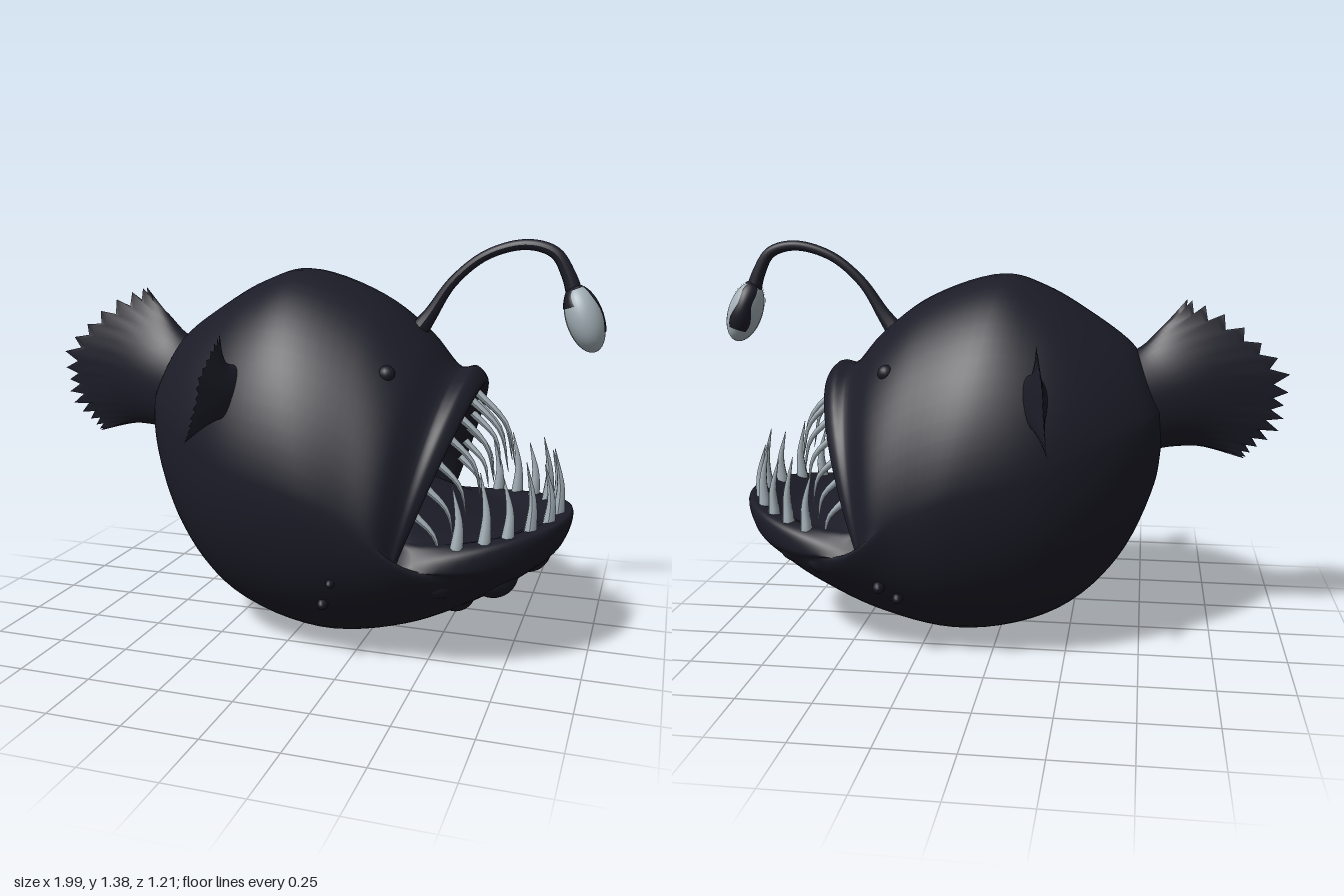
import * as THREE from 'three';

const SEG = 64;
const V = (x, y, z) => new THREE.Vector3(x, y, z);

// Bent oval section: top point, side point with half width, bottom point
function ring([tx, ty, sx, sy, w, bx, by], p, q) {
  const pts = [];
  for (let j = 0; j < SEG; j++) {
    const a = (j / SEG) * Math.PI * 2, s = Math.cos(a), m = Math.abs(s);
    const px = s > 0 ? Math.pow(m, p[0]) : Math.pow(m, p[1]);
    const py = s > 0 ? Math.pow(m, q) : m;
    pts.push(V(sx + ((s > 0 ? tx : bx) - sx) * px, sy + ((s > 0 ? ty : by) - sy) * py, w * Math.sin(a)));
  }
  return pts;
}

// Smooth skin over closed sections; also returns the curves that run along it
function loft(rings, steps, flip) {
  const curves = rings[0].map((_, j) => new THREE.CatmullRomCurve3(rings.map(r => r[j])));
  const pos = [], idx = [];
  for (let i = 0; i <= steps; i++) for (const c of curves) pos.push(...c.getPoint(i / steps).toArray());
  for (let i = 0; i < steps; i++) for (let j = 0; j < SEG; j++) {
    const k = (j + 1) % SEG;
    const a = i * SEG + j, b = i * SEG + k, c = a + SEG, d = b + SEG;
    if (flip) idx.push(a, c, b, b, c, d);
    else idx.push(a, b, c, b, d, c);
  }
  const geo = new THREE.BufferGeometry();
  geo.setAttribute('position', new THREE.Float32BufferAttribute(pos, 3));
  geo.setIndex(idx);
  geo.computeVertexNormals();
  return { geo, curves };
}

// Tube whose radius follows a rule along its length
function taperedTube(points, radius, n, sides) {
  const path = new THREE.CatmullRomCurve3(points);
  const geo = new THREE.TubeGeometry(path, n, 1, sides, false);
  const p = geo.attributes.position, v = V(0, 0, 0);
  for (let i = 0; i <= n; i++) {
    const c = path.getPointAt(i / n), r = radius(i / n);
    for (let j = 0; j <= sides; j++) {
      const k = i * (sides + 1) + j;
      v.fromBufferAttribute(p, k).sub(c).multiplyScalar(r).add(c);
      p.setXYZ(k, v.x, v.y, v.z);
    }
  }
  geo.computeVertexNormals();
  return geo;
}

// Ragged fin edge: every other point pushed outward
function ragged(pts, cx, cy, amount) {
  pts.forEach((p, j) => {
    const f = j % 2 ? -amount : amount * (0.4 + 0.3 * Math.sin(Math.cos((j / SEG) * Math.PI * 2) * 9));
    p.x += (p.x - cx) * f;
    p.y += (p.y - cy) * f;
  });
}

// Thin strip of a sphere with a wavy outline, running down from the pole
function drip(mid, width, len) {
  const geo = new THREE.SphereGeometry(1.04, 20, 20, mid - width / 2, width, 0, len);
  const p = geo.attributes.position;
  for (let k = 0; k < p.count; k++) {
    const t = Math.acos(THREE.MathUtils.clamp(p.getY(k) / 1.04, -1, 1));
    const side = (k % 21) / 20 - 0.5;
    const phi = mid + side * width * (0.9 + 0.2 * Math.sin(5 * t + mid));
    p.setX(k, -1.04 * Math.cos(phi) * Math.sin(t));
    p.setZ(k, 1.04 * Math.sin(phi) * Math.sin(t));
  }
  return geo;
}

export function createModel() {
  const model = new THREE.Group();
  const skin = new THREE.MeshStandardMaterial({ color: 0x1c1c28 });
  skin.name = 'dark skin';
  const pale = new THREE.MeshStandardMaterial({ color: 0xa4b1b8 });
  pale.name = 'pale tooth and lure';
  const add = (name, geo, mat, parent = model) => {
    const m = new THREE.Mesh(geo, mat);
    m.name = name;
    parent.add(m);
    return m;
  };

  // Body, lips and mouth lining as one skin
  const bodyRings = [
    [-0.5, 0.97, -0.56, 0.83, 0.09, -0.56, 0.69],
    [-0.45, 1.04, -0.51, 0.8, 0.2, -0.54, 0.55],
    [-0.3, 1.15, -0.35, 0.74, 0.36, -0.42, 0.28],
    [-0.15, 1.235, -0.15, 0.66, 0.475, -0.22, 0.09],
    [-0.01, 1.275, 0.1, 0.6, 0.52, 0.1, 0.001],
    [0.25, 1.195, 0.27, 0.53, 0.505, 0.4, 0.055],
    [0.42, 1.07, 0.37, 0.46, 0.495, 0.65, 0.18],
    [0.53, 0.955, 0.41, 0.4, 0.46, 0.81, 0.29],
    [0.585, 0.96, 0.42, 0.37, 0.455, 0.9, 0.38],
    [0.62, 0.91, 0.43, 0.385, 0.435, 0.925, 0.485],
    [0.57, 0.87, 0.42, 0.42, 0.405, 0.88, 0.48],
    [0.45, 0.82, 0.36, 0.45, 0.38, 0.75, 0.43],
    [0.28, 0.76, 0.22, 0.54, 0.3, 0.44, 0.5],
    [0.1, 0.62, 0.1, 0.62, 0, 0.1, 0.62],
  ].map(r => ring(r, [1.25, 1], 1.25));
  const body = loft(bodyRings, 78, false);
  add('body', body.geo, skin);
  const onBody = (r, a) => {
    const j = Math.round((a / (Math.PI * 2)) * SEG + SEG) % SEG;
    return body.curves[j].getPoint(r / (bodyRings.length - 1));
  };

  // Tail fin
  const tailRings = [
    [-0.4, 0.99, -0.4, 0.82, 0.17, -0.45, 0.64],
    [-0.48, 1.03, -0.57, 0.84, 0.115, -0.56, 0.675],
    [-0.56, 1.11, -0.75, 0.88, 0.06, -0.68, 0.685],
    [-0.63, 1.18, -0.97, 0.88, 0, -0.84, 0.65],
  ].map(r => ring(r, [2.3, 2.3], 1));
  ragged(tailRings[3], -0.58, 0.88, 0.09);
  add('tailFin', loft(tailRings, 18, true).geo, skin);

  // Side fins, drawn flat then turned outward
  for (const side of [1, -1]) {
    const finRings = [
      [0.36, 0.98, 0.36, 0.9, 0.055, 0.38, 0.82],
      [0.41, 1.0, 0.45, 0.9, 0.028, 0.48, 0.81],
      [0.43, 1.08, 0.54, 0.93, 0, 0.6, 0.77],
    ].map(r => ring(r, [1.4, 1.4], 1));
    ragged(finRings[2], 0.42, 0.9, 0.08);
    const turned = finRings.map(r => r.map(p => V(-0.15 - 0.3 * (p.x - 0.4) + p.z, p.y, p.x * side)));
    add(side > 0 ? 'finFront' : 'finBack', loft(turned, 12, side > 0).geo, skin);
  }

  // Teeth along both lips
  const teeth = new THREE.Group();
  teeth.name = 'teeth';
  model.add(teeth);
  const tooth = (name, b, dx, dy, dz, r) => add(name, taperedTube(
    [b, V(b.x + dx[0], b.y + dy * 0.45, b.z + dz * 0.5), V(b.x + dx[1], b.y + dy, b.z + dz)],
    t => r * (1 - t) + 0.001, 8, 7), pale, teeth);
  const lipPoint = (z, upper) => {
    const a = Math.asin(z / 0.405), s = Math.cos(a), k = Math.pow(s, 1.25);
    return upper ? V(0.425 + 0.15 * k, 0.42 + 0.46 * k, z) : V(0.42 + 0.46 * s, 0.41 + 0.06 * s, z);
  };
  [-0.375, -0.345, -0.31, -0.26, -0.2, -0.12, -0.03, 0.07, 0.17, 0.24, 0.3, 0.345, 0.38].forEach(z => {
    const len = 0.27 - 0.3 * Math.abs(z);
    tooth('upperTooth', lipPoint(z, true), [len * 0.45, len * 0.58], -len, -z * 0.04, 0.014);
  });
  [-0.365, -0.325, -0.27, -0.2, -0.115, 0.01, 0.115, 0.21, 0.28, 0.33, 0.37].forEach((z, i) => {
    const len = 0.2 + (i % 2) * 0.03;
    tooth('lowerTooth', lipPoint(z, false), [0.004, -0.02], len, -z * 0.03, 0.021);
  });

  // Lure stalk
  add('lureStalk', taperedTube([
    V(0.36, 1.04, 0), V(0.42, 1.12, 0), V(0.5, 1.24, 0), V(0.61, 1.33, 0), V(0.74, 1.365, 0),
    V(0.83, 1.34, 0), V(0.875, 1.27, 0), V(0.9, 1.2, 0),
  ], t => 0.016 + 0.03 * Math.pow(1 - t, 8) + 0.012 * Math.pow(t, 5), 48, 12), skin);

  // Lure bulb with dark cap and wavy drips
  const lure = new THREE.Group();
  lure.name = 'lure';
  lure.position.set(0.932, 1.13, 0);
  lure.rotation.z = 0.36;
  lure.scale.set(0.059, 0.112, 0.073);
  model.add(lure);
  add('bulb', new THREE.SphereGeometry(1, 28, 20), pale, lure);
  [
    [Math.PI, Math.PI * 2, 0.5],
    [Math.PI, 0.8, 2.1],
    [4.9, 1.2, 2.1],
    [0.8, 1.3, 1.1],
  ].forEach(([mid, width, len]) => add('darkDrip', drip(mid, width, len), skin, lure));

  // Eyes
  for (const side of [1, -1]) add('eye', new THREE.SphereGeometry(0.028, 16, 12), skin).position.set(0.352, 0.965, 0.29 * side);

  // Low mounds on the chin: station, angle, radius
  [
    [7.3, 3.14, 0.08], [6.7, 2.75, 0.085], [5.8, 2.85, 0.07], [6.2, 2.3, 0.065], [7.4, 3.9, 0.065],
    [6.6, 4.1, 0.065],
  ].forEach(([r, a, size]) => {
    const mound = add('chinMound', new THREE.SphereGeometry(size, 20, 16), skin);
    mound.position.copy(onBody(r, a)).lerp(V(0.3, 0.55, 0), 0.11);
  });

  // Small pointed warts on the flanks
  [[4.3, 2.3, 0.02], [4.5, 2.1, 0.016], [5.1, 4.15, 0.022], [4.8, 4.0, 0.02]].forEach(([r, a, size]) => {
    const wart = add('wart', new THREE.SphereGeometry(size, 12, 10), skin);
    wart.position.copy(onBody(r, a));
    wart.scale.set(0.9, 1, 1.5);
  });

  return model;
}
